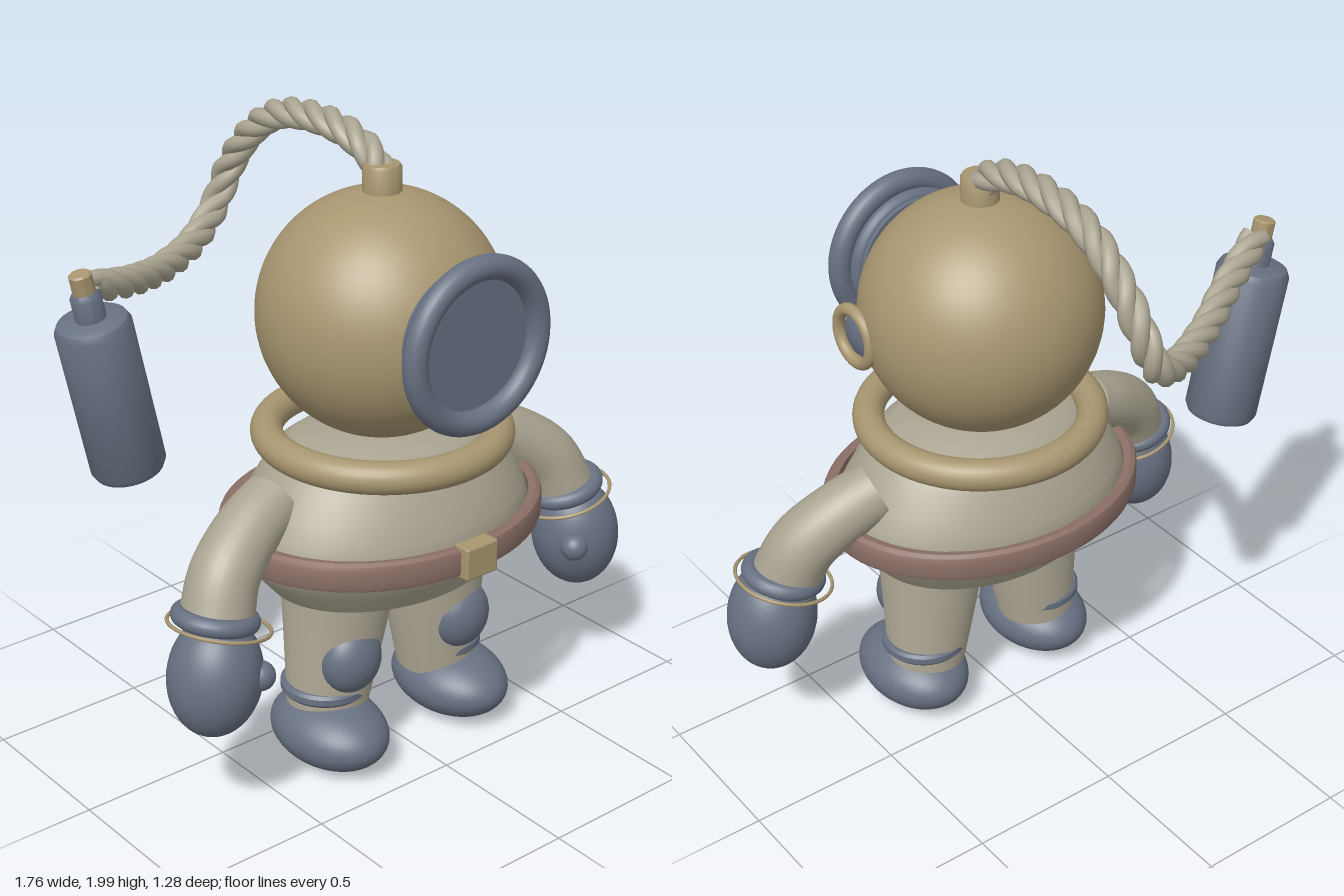
import * as THREE from 'three';
import { toCreasedNormals } from 'three/addons/utils/BufferGeometryUtils.js';
import { RoundedBoxGeometry } from 'three/addons/geometries/RoundedBoxGeometry.js';

const material = (name, color) => {
  const m = new THREE.MeshStandardMaterial({ color });
  m.name = name;
  return m;
};
const V = (x, y, z) => new THREE.Vector3(x, y, z);

export function createModel() {
  const brass = material('brass', 0xa89670);
  const cloth = material('cloth', 0xaaa491);
  const slate = material('slate', 0x687182);
  const leather = material('leather', 0x8c7067);

  const model = new THREE.Group();
  model.name = 'diver';

  const add = (name, geometry, mat, x = 0, y = 0, z = 0, parent = model) => {
    const mesh = new THREE.Mesh(geometry, mat);
    mesh.name = name;
    mesh.position.set(x, y, z);
    parent.add(mesh);
    return mesh;
  };
  const ellipsoid = (name, mat, p, r) => {
    const mesh = add(name, new THREE.SphereGeometry(1, 40, 28), mat, ...p);
    mesh.scale.set(...r);
    return mesh;
  };
  const lathe = (profile) => toCreasedNormals(
    new THREE.LatheGeometry(profile.map(([r, y]) => new THREE.Vector2(r, y)), 64), 0.6);

  // Tube whose radius blends evenly from r0 to r1
  const taperedTube = (points, r0, r1) => {
    const path = new THREE.CatmullRomCurve3(points);
    const n = 20, sides = 32;
    const geometry = new THREE.TubeGeometry(path, n, 1, sides);
    const pos = geometry.attributes.position, p = V();
    for (let i = 0; i < pos.count; i++) {
      const t = Math.floor(i / (sides + 1)) / n;
      const c = path.getPointAt(t);
      p.fromBufferAttribute(pos, i).sub(c).multiplyScalar(r0 + (r1 - r0) * t).add(c);
      pos.setXYZ(i, p.x, p.y, p.z);
    }
    return { geometry, path };
  };

  // Helmet with collar and air fitting
  add('helmet', new THREE.SphereGeometry(0.377, 64, 48), brass, 0, 1.425, 0.168);
  const collar = add('collar', new THREE.TorusGeometry(0.352, 0.05, 24, 72), brass, 0, 1.047, 0.177);
  collar.rotation.x = Math.PI / 2;
  add('airFitting', lathe([[0, 0], [0.058, 0], [0.058, 0.08], [0.052, 0.09], [0, 0.09]]), brass, 0, 1.79, 0.167);

  // Front window
  add('windowRim', new THREE.TorusGeometry(0.233, 0.037, 20, 72), slate, 0, 1.445, 0.59);
  add('windowSeat', new THREE.TorusGeometry(0.2, 0.025, 16, 64), slate, 0, 1.445, 0.537);
  const pane = add('windowPane', new THREE.CylinderGeometry(0.205, 0.205, 0.08, 64), slate, 0, 1.445, 0.54);
  pane.rotation.x = Math.PI / 2;

  // Side porthole, on the left only
  const rim = add('portholeRim', new THREE.TorusGeometry(0.087, 0.02, 16, 48), brass, 0.364, 1.385, 0.315);
  rim.rotation.y = Math.PI / 2;
  ellipsoid('portholeGlass', slate, [0.335, 1.385, 0.315], [0.037, 0.078, 0.078]);

  // Suit body, oval in plan
  const torso = add('torso', lathe([[0, 0.59], [0.385, 0.59], [0.44, 0.655], [0.495, 0.73], [0.505, 0.78],
    [0.485, 0.84], [0.45, 0.9], [0.41, 0.96], [0.37, 1.01], [0.3, 1.05], [0, 1.06]]), cloth, 0, 0, 0.177);
  torso.scale.z = 0.745;

  // Belt and buckle
  const belt = add('belt', lathe([[0.49, 0.735], [0.515, 0.73], [0.53, 0.738], [0.535, 0.75], [0.535, 0.805],
    [0.53, 0.817], [0.515, 0.825], [0.49, 0.82], [0.49, 0.735]]), leather, 0, 0, 0.177);
  belt.scale.z = 0.815;
  add('buckle', new RoundedBoxGeometry(0.122, 0.105, 0.06, 2, 0.008), brass, 0, 0.78, 0.608);

  for (const s of [-1, 1]) {
    const side = s > 0 ? 'left' : 'right';

    // Leg, ankle band, knee pad and boot
    const leg = taperedTube([V(s * 0.185, 0.66, 0.195), V(s * 0.2, 0.45, 0.19), V(s * 0.226, 0.18, 0.185)], 0.185, 0.128);
    add(side + 'Leg', leg.geometry, cloth);
    add(side + 'AnkleBand', lathe([[0.115, -0.02], [0.132, -0.02], [0.14, -0.01], [0.14, 0.01],
      [0.132, 0.02], [0.115, 0.02]]), slate, s * 0.232, 0.25, 0.185);
    ellipsoid(side + 'KneePad', slate, [s * 0.223, 0.38, 0.3], [0.103, 0.112, 0.08]);
    ellipsoid(side + 'Boot', slate, [s * 0.25, 0.113, 0.228], [0.162, 0.113, 0.22]);

    // Sleeve, with its shoulder end closed
    const arm = taperedTube([V(s * 0.41, 0.925, 0.165), V(s * 0.52, 0.875, 0.19),
      V(s * 0.64, 0.78, 0.23), V(s * 0.695, 0.66, 0.26)], 0.095, 0.112);
    add(side + 'Arm', arm.geometry, cloth);
    const cap = add(side + 'ArmEnd', new THREE.CircleGeometry(0.095, 32), cloth);
    cap.position.copy(arm.path.getPointAt(0));
    cap.quaternion.setFromUnitVectors(V(0, 0, 1), arm.path.getTangentAt(0).negate());

    // Glove with cuff, loose wrist ring and thumb
    const cuff = add(side + 'Cuff', new THREE.TorusGeometry(0.105, 0.028, 16, 48), slate, s * 0.698, 0.675, 0.262);
    const ring = add(side + 'WristRing', new THREE.TorusGeometry(0.153, 0.006, 8, 64), brass, s * 0.693, 0.652, 0.272);
    for (const m of [cuff, ring]) {
      m.quaternion.setFromUnitVectors(V(0, 0, 1), V(-s * 0.24, 0.97, -0.06).normalize());
    }
    const glove = ellipsoid(side + 'Glove', slate, [s * 0.73, 0.51, 0.297], [0.142, 0.188, 0.143]);
    glove.rotation.z = s * 0.15;
    ellipsoid(side + 'Thumb', slate, [s * 0.635, 0.515, 0.39], [0.045, 0.045, 0.045]);
  }

  // Leaning air tank
  const tank = new THREE.Group();
  tank.name = 'airTank';
  tank.position.set(-0.725, 1.225, -0.198);
  tank.rotation.z = 0.21;
  model.add(tank);
  add('tankBody', lathe([[0, -0.265], [0.085, -0.265], [0.105, -0.255], [0.115, -0.235],
    [0.115, 0.235], [0.105, 0.255], [0.085, 0.265], [0, 0.265]]), slate, 0, 0, 0, tank);
  add('tankNeck', lathe([[0, 0.25], [0.046, 0.25], [0.046, 0.335], [0.036, 0.35], [0, 0.35]]), slate, 0, 0, 0, tank);
  add('tankValve', lathe([[0, 0.345], [0.034, 0.345], [0.034, 0.405], [0.028, 0.41], [0, 0.41]]), brass, 0, 0, 0, tank);

  // Twisted air hose: three strands wound round one path
  const hosePath = new THREE.CatmullRomCurve3([
    V(0, 1.84, 0.165), V(0, 1.89, 0.12), V(0, 1.93, 0.02), V(0, 1.945, -0.15), V(0, 1.91, -0.336),
    V(0, 1.81, -0.48), V(-0.01, 1.68, -0.575), V(-0.05, 1.575, -0.59), V(-0.18, 1.5, -0.525),
    V(-0.38, 1.482, -0.415), V(-0.6, 1.525, -0.285), V(-0.77, 1.575, -0.205)]);
  const steps = 160, turns = 6.5;
  const frames = hosePath.computeFrenetFrames(steps);
  const hose = new THREE.Group();
  hose.name = 'airHose';
  model.add(hose);
  for (let k = 0; k < 3; k++) {
    const points = [];
    for (let i = 0; i <= steps; i++) {
      const a = 2 * Math.PI * (k / 3 + turns * i / steps);
      points.push(hosePath.getPointAt(i / steps)
        .addScaledVector(frames.normals[i], 0.023 * Math.cos(a))
        .addScaledVector(frames.binormals[i], 0.023 * Math.sin(a)));
    }
    add('hoseStrand', new THREE.TubeGeometry(new THREE.CatmullRomCurve3(points), 240, 0.026, 10), cloth, 0, 0, 0, hose);
  }
  return model;
}
